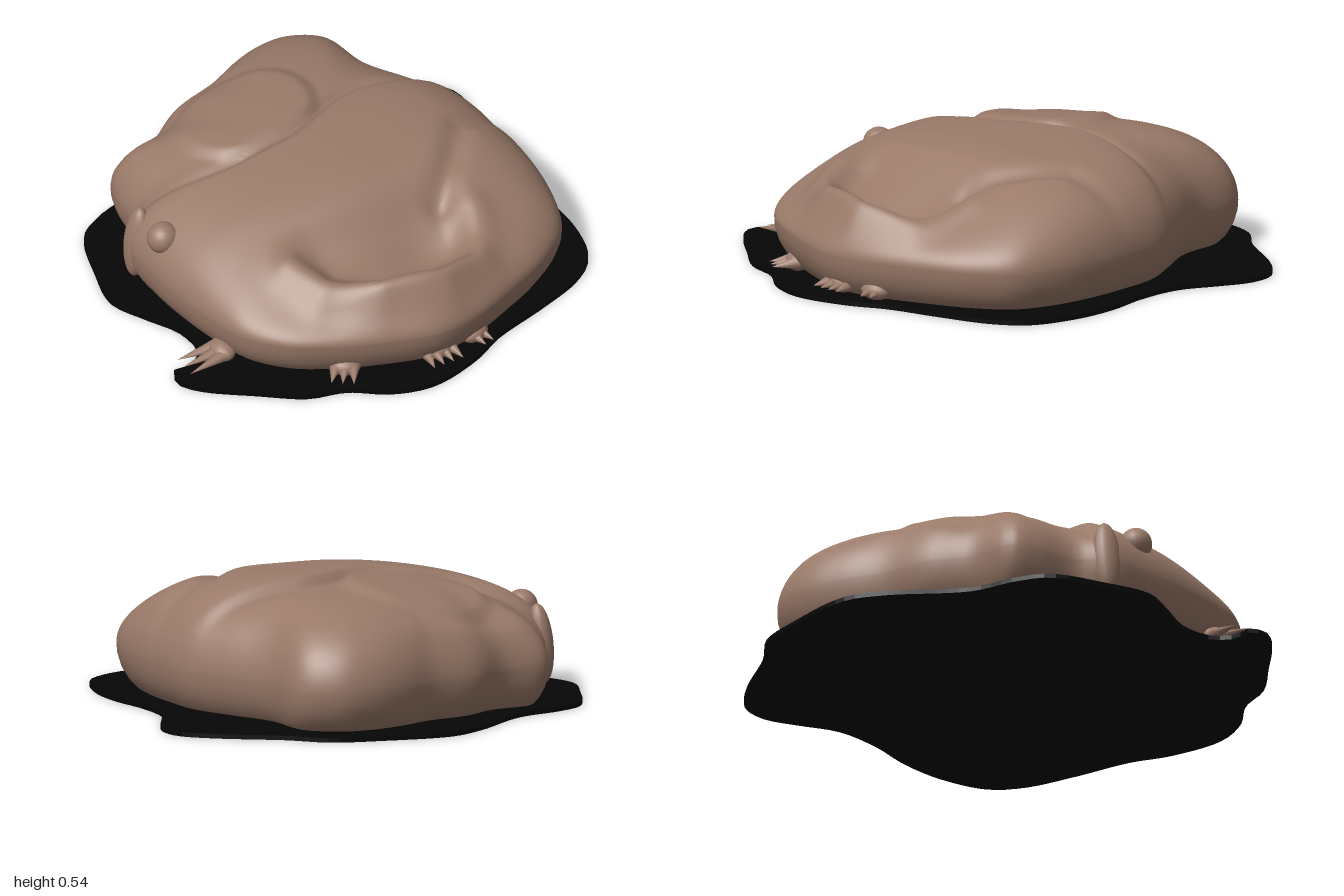
import * as THREE from 'three';

const flesh = new THREE.MeshStandardMaterial({ color: 0x9a7a69 });
flesh.name = 'brown skin';
const dark = new THREE.MeshStandardMaterial({ color: 0x060606 });
dark.name = 'black ground';

// Plan outlines as x, z pairs, running back -> left side -> front -> right side
const bodyPlan = [0.2, -0.92, 0.34, -0.92, 0.48, -0.83, 0.54, -0.58, 0.66, -0.38, 0.76, -0.2, 0.8, 0, 0.82, 0.2,
  0.81, 0.4, 0.75, 0.58, 0.6, 0.71, 0.4, 0.81, 0.2, 0.89, 0, 0.92, -0.2, 0.87, -0.4, 0.79, -0.57, 0.69, -0.69, 0.55,
  -0.74, 0.4, -0.78, 0.2, -0.8, 0, -0.79, -0.2, -0.7, -0.3, -0.68, -0.48, -0.64, -0.58, -0.45, -0.63,
  -0.3, -0.73, -0.1, -0.79, 0.05, -0.87];
const basePlan = [-0.1, -0.99, 0.2, -0.99, 0.4, -0.96, 0.55, -0.85, 0.8, -0.72, 0.92, -0.62, 0.945, -0.5, 0.9, -0.36,
  0.84, -0.2, 0.85, 0, 0.9, 0.2, 0.91, 0.4, 0.86, 0.6, 0.75, 0.7, 0.55, 0.78, 0.3, 0.86, 0.15, 0.94, -0.08, 1,
  -0.25, 0.96, -0.4, 0.86, -0.55, 0.82, -0.72, 0.7, -0.9, 0.56, -0.95, 0.48, -0.93, 0.41, -0.85, 0.41,
  -0.78, 0.34, -0.78, 0.2, -0.85, 0.06, -0.92, -0.1, -0.88, -0.3, -0.8, -0.52, -0.68, -0.6, -0.5, -0.67, -0.25, -0.9];

function outline(pairs, count) {
  const pts = [];
  for (let i = 0; i < pairs.length; i += 2) pts.push(new THREE.Vector3(pairs[i], 0, pairs[i + 1]));
  return new THREE.CatmullRomCurve3(pts, true).getSpacedPoints(count).slice(0, count);
}

// Smooth step from 0 at a to 1 at b, in either direction
function step(a, b, v) {
  const t = THREE.MathUtils.clamp((v - a) / (b - a), 0, 1);
  return t * t * (3 - 2 * t);
}
const bump = (x, z, cx, cz, rx, rz) => Math.exp(-(((x - cx) / rx) ** 2) - ((z - cz) / rz) ** 2);

// Rounded ridge along a polyline of [x, z, height]
function along(path, width, x, z) {
  let near = 9, height = 0;
  for (let i = 0; i + 1 < path.length; i++) {
    const [ax, az, ah] = path[i], [bx, bz, bh] = path[i + 1];
    const dx = bx - ax, dz = bz - az;
    const t = THREE.MathUtils.clamp(((x - ax) * dx + (z - az) * dz) / (dx * dx + dz * dz), 0, 1);
    const d = Math.hypot(x - ax - dx * t, z - az - dz * t);
    if (d < near) [near, height] = [d, ah + (bh - ah) * t];
  }
  return height * Math.exp(-((near / width) ** 2));
}

const curledRidge = [[-0.42, 0.48, 0.05], [-0.35, 0.62, 0.09], [-0.17, 0.75, 0.11], [0.08, 0.81, 0.1],
  [0.28, 0.73, 0.06], [0.38, 0.52, 0.03]];
const sideCrease = [[0.8, 0.03, 0.02], [0.55, 0.12, 0.03], [0.42, 0.28, 0.035], [0.28, 0.42, 0.03]];
const rearFold = [[-0.6, -0.5, 0.01], [-0.38, -0.66, 0.025], [-0.05, -0.72, 0.02]];

// Height of the back before it rolls over at the edge
function backHeight(x, z) {
  let h = 0.515 - 0.07 * step(0.1, -0.75, x) - 0.16 * step(0.15, 0.8, z);
  // Long fold across the back, higher on its front side
  const foldZ = -0.1 - 0.14 * step(-0.15, 0.3, x) - 0.09 * step(-0.35, -0.75, x);
  h += 0.03 * step(foldZ - 0.03, foldZ + 0.03, z) * step(0.35, foldZ + 0.03, z);
  h -= 0.02 * bump(0, z, 0, foldZ - 0.03, 1, 0.03) * step(0.7, 0.3, x);
  // Round haunch behind the fold
  h += 0.025 * step(0.32, 0.25, Math.hypot(x + 0.16, (z + 0.37) * 1.1));
  // Drop into the hollow enclosed by the curled ridge
  h -= 0.06 * step(0.28, 0.46, z) * step(0.45, 0.25, Math.abs(x + 0.02)) * step(0.8, 0.6, z);
  h -= 0.06 * bump(x, z, 0.12, 0.57, 0.2, 0.14);
  return h - along(sideCrease, 0.05, x, z) + along(rearFold, 0.05, x, z);
}

// Smooth body built as rings from the foot up to the crown
function bodyGeometry() {
  const count = 200, rings = 72;
  const plan = outline(bodyPlan, count);
  const pos = [], idx = [];
  const lower = [[0.92, 0.02], [0.95, 0.045], [0.98, 0.09], [0.997, 0.14]];
  for (const [s, y] of lower) for (const p of plan) pos.push(p.x * s, y, p.z * s);
  for (let j = 0; j < rings; j++) {
    const r = Math.cos((j / rings) * Math.PI / 2);
    const f = Math.sqrt(1 - r ** 4);
    for (const p of plan) {
      const x = p.x * r, z = p.z * r;
      const ridge = along(curledRidge, 0.08, x, z) * Math.min(1, f * 1.6);
      pos.push(x, 0.18 + (backHeight(x, z) - 0.18) * f + ridge, z);
    }
  }
  const rows = lower.length + rings;
  for (let j = 0; j + 1 < rows; j++) {
    for (let i = 0; i < count; i++) {
      const a = j * count + i, b = j * count + (i + 1) % count;
      idx.push(a, a + count, b, b, a + count, b + count);
    }
  }
  const crown = pos.length / 3, last = (rows - 1) * count;
  pos.push(0, backHeight(0, 0), 0);
  for (let i = 0; i < count; i++) idx.push(last + i, crown, last + (i + 1) % count);
  const g = new THREE.BufferGeometry();
  g.setAttribute('position', new THREE.Float32BufferAttribute(pos, 3));
  g.setIndex(idx);
  g.computeVertexNormals();
  return g;
}

export function createModel() {
  const model = new THREE.Group();
  const add = (name, geometry, material, parent = model) => {
    const mesh = new THREE.Mesh(geometry, material);
    mesh.name = name;
    parent.add(mesh);
    return mesh;
  };

  // Thin ground plate
  const shape = new THREE.Shape(outline(basePlan, 140).map(p => new THREE.Vector2(p.x, -p.z)));
  const plate = new THREE.ExtrudeGeometry(shape, { depth: 0.018, bevelEnabled: false });
  add('groundPlate', plate.rotateX(-Math.PI / 2), dark);

  add('body', bodyGeometry(), flesh);

  // Small knob and hanging fold on the right flank
  const knob = add('flankKnob', new THREE.SphereGeometry(0.065, 20, 14), flesh);
  knob.position.set(-0.735, 0.325, -0.01);
  const flap = add('flankFold', new THREE.SphereGeometry(0.06, 20, 16), flesh);
  flap.position.set(-0.755, 0.2, -0.18);
  flap.scale.set(0.85, 2.7, 1);
  flap.rotation.z = -0.1;

  // Feet with fanned claws: x, z, heading from +z towards +x, claw count, claw length
  const feet = [[-0.72, 0.43, -1.57, 3, 0.17], [-0.35, 0.76, -0.6, 3, 0.1],
    [0.02, 0.85, 0, 4, 0.09], [0.2, 0.83, 0.3, 2, 0.08]];
  for (const [x, z, heading, n, length] of feet) {
    const foot = new THREE.Group();
    foot.name = 'foot';
    foot.position.set(x, 0.055, z);
    foot.rotation.y = heading;
    const pad = add('pad', new THREE.SphereGeometry(0.05, 16, 10), flesh, foot);
    pad.scale.set(1.3, 0.8, 1);
    for (let i = 0; i < n; i++) {
      const k = i - (n - 1) / 2;
      const claw = add('claw', new THREE.ConeGeometry(0.027, length, 8).rotateX(Math.PI / 2)
        .translate(0, 0, length / 2), flesh, foot);
      claw.position.set(k * 0.035, 0, 0.01);
      claw.rotation.set(0.12, k * 0.1, 0);
    }
    model.add(foot);
  }
  return model;
}
